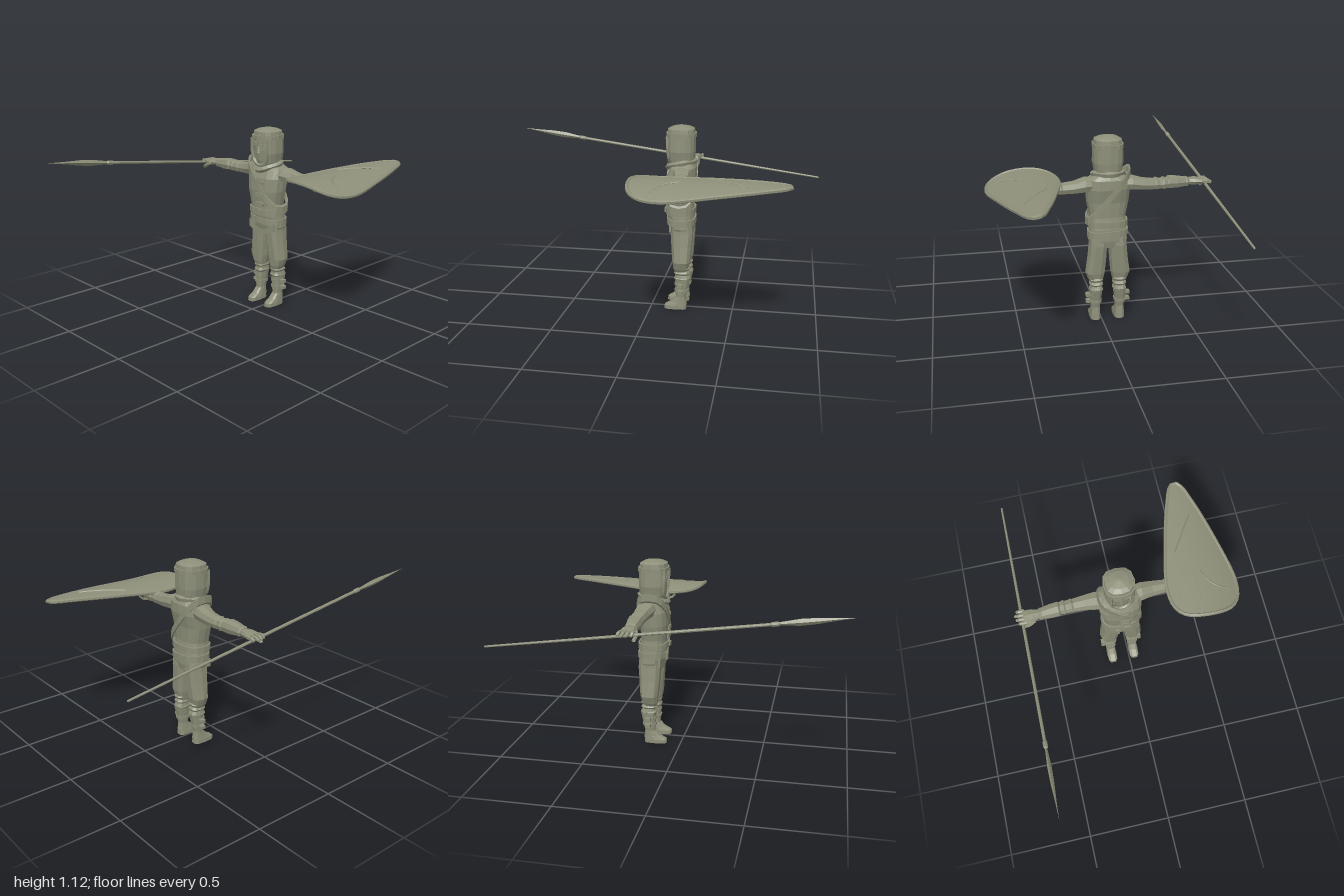
import * as THREE from 'three';

const cloth = new THREE.MeshStandardMaterial({ color: 0x8d8f79, flatShading: true, side: THREE.DoubleSide });
cloth.name = 'olive grey';

// Skin over stacked rounded cross-sections [y, centreX, centreZ, radiusX, radiusZ, tilt]
function loft(sections, { n = 12, e = 0.75, a0 = 0, a1 = Math.PI * 2, cap = true } = {}) {
  const pos = [], idx = [], w = n + 1;
  const sp = v => Math.sign(v) * Math.pow(Math.abs(v), e);
  for (const [y, cx, cz, rx, rz, tilt = 0] of sections) {
    for (let j = 0; j <= n; j++) {
      const a = a0 + (a1 - a0) * j / n, dx = rx * sp(Math.cos(a));
      pos.push(cx + dx, y + tilt * dx, cz + rz * sp(Math.sin(a)));
    }
  }
  for (let i = 0; i < sections.length - 1; i++) {
    for (let j = 0; j < n; j++) {
      const p = i * w + j, q = p + w;
      idx.push(p, q, p + 1, q, q + 1, p + 1);
    }
  }
  if (cap) {
    [0, sections.length - 1].forEach((s, k) => {
      const c = pos.length / 3, [y, cx, cz] = sections[s];
      pos.push(cx, y, cz);
      for (let j = 0; j < n; j++) {
        const p = s * w + j;
        k ? idx.push(c, p + 1, p) : idx.push(c, p, p + 1);
      }
    });
  }
  const g = new THREE.BufferGeometry();
  g.setAttribute('position', new THREE.Float32BufferAttribute(pos, 3));
  g.setIndex(idx);
  g.computeVertexNormals();
  return g;
}

function add(parent, name, geo) {
  const m = new THREE.Mesh(geo, cloth);
  m.name = name;
  parent.add(m);
  return m;
}

function box(parent, name, w, h, d, x, y, z, rz = 0) {
  const m = add(parent, name, new THREE.BoxGeometry(w, h, d));
  m.position.set(x, y, z);
  m.rotation.z = rz;
  return m;
}

function tube(parent, name, pts, r, closed = false, seg = 24, sides = 5) {
  const curve = new THREE.CatmullRomCurve3(pts.map(p => new THREE.Vector3(...p)), closed);
  return add(parent, name, new THREE.TubeGeometry(curve, seg, r, sides, closed));
}

function buildTorso(body) {
  add(body, 'tunic', loft([
    [0.47, 0, -0.185, 0.1, 0.062], [0.51, 0, -0.183, 0.115, 0.072], [0.58, 0, -0.175, 0.11, 0.08],
    [0.65, 0, -0.168, 0.106, 0.077], [0.74, 0, -0.165, 0.124, 0.083], [0.82, 0, -0.175, 0.13, 0.09],
    [0.875, 0, -0.185, 0.122, 0.078], [0.91, 0, -0.185, 0.065, 0.06]], { n: 16 }));
  // curved front hem hanging between the thighs
  const hem = new THREE.Shape();
  hem.moveTo(-0.105, 0.54);
  hem.lineTo(-0.105, 0.49);
  hem.quadraticCurveTo(0, 0.43, 0.105, 0.49);
  hem.lineTo(0.105, 0.54);
  const flap = add(body, 'frontHem', new THREE.ExtrudeGeometry(hem, { depth: 0.012, bevelEnabled: false, curveSegments: 5 }));
  flap.position.z = -0.128;
  const ring = (name, y, h, z, rx, rz, tilt = 0) => add(body, name, loft([
    [y - h, 0, z, rx - 0.01, rz - 0.01, tilt], [y - h, 0, z, rx, rz, tilt],
    [y + h, 0, z, rx, rz, tilt], [y + h, 0, z, rx - 0.01, rz - 0.01, tilt]], { n: 16, cap: false }));
  ring('upperBelt', 0.612, 0.018, -0.173, 0.118, 0.09);
  ring('lowerBelt', 0.553, 0.018, -0.178, 0.12, 0.087, -0.06);
  ring('shoulderStrap', 0.772, 0.022, -0.173, 0.13, 0.095, -1.15);
  box(body, 'beltBuckle', 0.024, 0.05, 0.012, -0.033, 0.55, -0.088);
  box(body, 'beltPlate', 0.04, 0.026, 0.01, 0.02, 0.61, -0.081);
  for (const [y, z] of [[0.795, -0.085], [0.715, -0.083], [0.66, -0.088]]) {
    const tab = add(body, 'chestTab', new THREE.CylinderGeometry(0.014, 0.014, 0.014, 8));
    tab.rotation.x = Math.PI / 2;
    tab.position.set(0.03, y, z);
    box(body, 'chestTab', 0.045, 0.026, 0.013, 0.006, y, z);
  }
  tube(body, 'scarf', [[-0.085, 0.905, -0.185], [-0.055, 0.885, -0.115], [0, 0.868, -0.092],
    [0.055, 0.885, -0.115], [0.085, 0.905, -0.185], [0, 0.91, -0.255]], 0.018, true, 20);
}

function buildHead(body) {
  add(body, 'face', loft([[0.88, 0, -0.17, 0.045, 0.06], [0.925, 0, -0.165, 0.052, 0.07],
    [0.99, 0, -0.165, 0.062, 0.076], [1.07, 0, -0.165, 0.066, 0.074]], { e: 0.8 }));
  add(body, 'hood', loft([[0.875, 0, -0.175, 0.06, 0.07], [0.915, 0, -0.172, 0.078, 0.08],
    [0.97, 0, -0.17, 0.088, 0.086], [1.07, 0, -0.17, 0.085, 0.086]],
  { a0: Math.PI * 0.68, a1: Math.PI * 2.32, n: 12, cap: false }));
  add(body, 'crown', loft([[1.055, 0, -0.17, 0.084, 0.084], [1.1, 0, -0.17, 0.08, 0.08],
    [1.113, 0, -0.17, 0.055, 0.055], [1.123, 0, -0.17, 0.008, 0.008]]));
  add(body, 'browBand', loft([[1.055, 0, -0.17, 0.08, 0.08], [1.055, 0, -0.17, 0.09, 0.091],
    [1.078, 0, -0.17, 0.09, 0.091], [1.078, 0, -0.17, 0.08, 0.08]], { cap: false }));
  tube(body, 'hoodRim', [[-0.06, 1.06, -0.095], [-0.062, 0.98, -0.098], [-0.048, 0.92, -0.104], [0, 0.895, -0.098],
    [0.048, 0.92, -0.104], [0.062, 0.98, -0.098], [0.06, 1.06, -0.095]], 0.011);
  const nose = add(body, 'nose', new THREE.ConeGeometry(0.012, 0.05, 4));
  nose.position.set(0, 1.0, -0.089);
  for (const s of [-1, 1]) {
    box(body, 'eyebrow', 0.036, 0.007, 0.009, s * 0.03, 1.037, -0.09, s * 0.1);
    box(body, 'eye', 0.026, 0.007, 0.007, s * 0.03, 1.022, -0.091);
  }
}

function buildArm(body, s) {
  const arm = new THREE.Group();
  arm.name = s > 0 ? 'leftArm' : 'rightArm';
  body.add(arm);
  // sections [distance, y, z, half height, half depth] laid outward along x
  const limb = (name, list, n = 8) => add(arm, name,
    loft(list.map(([d, y, z, ry, rz]) => [d, -s * y, z, ry, rz]), { n }).rotateZ(-s * Math.PI / 2));
  limb('sleeve', [[0.08, 0.845, -0.185, 0.04, 0.055], [0.135, 0.845, -0.192, 0.044, 0.055],
    [0.2, 0.835, -0.2, 0.036, 0.046], [0.27, 0.83, -0.2, 0.032, 0.04], [0.35, 0.832, -0.198, 0.031, 0.038]]);
  for (const d of [0.265, 0.31]) {
    limb('sleeveFold', [[d, 0.831, -0.2, 0.03, 0.038], [d + 0.012, 0.833, -0.2, 0.037, 0.043], [d + 0.032, 0.831, -0.2, 0.03, 0.038]]);
  }
  limb('armguard', [[0.345, 0.833, -0.197, 0.03, 0.036], [0.355, 0.836, -0.195, 0.038, 0.043],
    [0.4, 0.834, -0.193, 0.036, 0.042], [0.465, 0.832, -0.19, 0.026, 0.033]]);
  limb('wristCuff', [[0.45, 0.832, -0.19, 0.027, 0.036], [0.462, 0.832, -0.19, 0.03, 0.037], [0.475, 0.832, -0.19, 0.022, 0.03]]);
  limb('palm', [[0.465, 0.833, -0.19, 0.019, 0.028], [0.51, 0.833, -0.19, 0.021, 0.04], [0.56, 0.832, -0.19, 0.015, 0.045]]);
  for (let i = 0; i < 4; i++) {
    const z = -0.228 + i * 0.025, tip = 0.615 - Math.abs(i - 1.3) * 0.012;
    limb('finger', [[0.55, 0.834, z, 0.011, 0.011], [0.585, 0.834 + i * 0.001, z, 0.011, 0.01],
      [tip, 0.827, z - 0.004, 0.006, 0.007]], 6);
  }
  tube(arm, 'thumb', [[s * 0.5, 0.83, -0.155], [s * 0.535, 0.815, -0.143], [s * 0.568, 0.795, -0.15]], 0.011, false, 4, 6);
}

function buildLeg(body, s) {
  const leg = new THREE.Group();
  leg.name = s > 0 ? 'leftLeg' : 'rightLeg';
  body.add(leg);
  const limb = (name, list, o) => add(leg, name, loft(list.map(([y, x, ...r]) => [y, s * x, ...r]), o));
  limb('trouserLeg', [[0.225, 0.066, -0.185, 0.03, 0.035], [0.26, 0.072, -0.185, 0.045, 0.046], [0.305, 0.075, -0.188, 0.059, 0.054],
    [0.4, 0.064, -0.187, 0.056, 0.062], [0.48, 0.058, -0.187, 0.054, 0.068], [0.53, 0.056, -0.185, 0.054, 0.066]], { n: 10 });
  limb('boot', [[0.03, 0.073, -0.188, 0.029, 0.036], [0.08, 0.073, -0.187, 0.027, 0.031], [0.14, 0.073, -0.192, 0.033, 0.039],
    [0.2, 0.071, -0.197, 0.039, 0.047], [0.23, 0.069, -0.19, 0.034, 0.04]], { n: 10 });
  for (const y of [0.185, 0.22, 0.25]) {
    limb('kneeWrap', [[y, 0.07, -0.192, 0.034, 0.042], [y + 0.012, 0.07, -0.192, 0.042, 0.049], [y + 0.026, 0.069, -0.19, 0.034, 0.042]], { n: 10 });
  }
  limb('foot', [[0, 0.073, -0.153, 0.032, 0.069], [0.022, 0.073, -0.153, 0.032, 0.067],
    [0.045, 0.073, -0.173, 0.029, 0.046], [0.075, 0.073, -0.187, 0.027, 0.031]], { n: 10, e: 0.6 });
  for (const y of [0.12, 0.16]) {
    box(leg, 'bootStrap', 0.04, 0.02, 0.03, s * 0.112, y, -0.19);
    limb('strapBand', [[y - 0.008, 0.073, -0.19, 0.036, 0.042], [y + 0.008, 0.073, -0.19, 0.037, 0.043]], { n: 10 });
  }
}

function buildSpear() {
  const spear = new THREE.Group();
  spear.name = 'spear';
  const part = (name, pts, sides) => add(spear, name,
    new THREE.LatheGeometry(pts.map(p => new THREE.Vector2(...p)), sides));
  part('shaft', [[0, -1.005], [0.006, -1], [0.009, -0.2], [0.009, 0.6], [0, 0.6]], 8);
  part('collar', [[0, 0.56], [0.013, 0.575], [0.013, 0.61], [0, 0.625]], 8);
  part('blade', [[0, 0.59], [0.008, 0.6], [0.018, 0.72], [0.016, 0.8], [0.007, 0.9], [0, 1.008]], 4).scale.x = 0.65;
  spear.position.set(-0.607, 0.847, 0);
  spear.rotation.x = Math.PI / 2 - Math.atan2(0.27, 2);
  return spear;
}

function buildShield() {
  const shield = new THREE.Group();
  shield.name = 'shield';
  const cx = 0.447, bend = x => 0.886 - (x - 0.4) ** 2;
  // teardrop outline as [z, half width]
  const half = [[-0.822, 0.012], [-0.79, 0.04], [-0.7, 0.073], [-0.6, 0.105], [-0.4, 0.157], [-0.2, 0.2],
    [-0.12, 0.203], [-0.05, 0.19], [0.0, 0.16], [0.03, 0.115], [0.045, 0.05]];
  const rows = half.length - 1, cols = 10;
  const face = new THREE.BoxGeometry(1, 1, 1, cols, 1, rows), p = face.attributes.position;
  for (let i = 0; i < p.count; i++) {
    const [z, w] = half[Math.round((p.getZ(i) + 0.5) * rows)];
    const x = cx + p.getX(i) * 2 * w;
    p.setXYZ(i, x, bend(x) + p.getY(i) * 0.008, z);
  }
  face.computeVertexNormals();
  add(shield, 'shieldFace', face);
  const edge = s => half.map(([z, w]) => [cx + s * w, bend(cx + s * w), z]);
  tube(shield, 'shieldRim', [...edge(1), ...edge(-1).reverse()], 0.011, true, 60, 6);
  // raised scars on the face
  for (const [x0, z0, x1, z1, k] of [[0.485, -0.6, 0.34, -0.37, 0], [0.45, -0.23, 0.585, -0.095, 0.02]]) {
    const pts = [0, 0.33, 0.67, 1].map(t => {
      const b = k * Math.sin(Math.PI * t), x = x0 + (x1 - x0) * t - b;
      return [x, bend(x) + 0.004, z0 + (z1 - z0) * t + b];
    });
    tube(shield, 'scar', pts, 0.005, false, 8, 4);
  }
  // loops holding the forearm and hand
  for (const x of [0.36, 0.5]) {
    tube(shield, 'armLoop', [[x, bend(x), -0.255], [x, 0.81, -0.25], [x, 0.79, -0.19], [x, 0.81, -0.135], [x, bend(x), -0.13]], 0.008, false, 12);
  }
  return shield;
}

export function createModel() {
  const model = new THREE.Group();
  model.name = 'warrior';
  const body = new THREE.Group();
  body.name = 'body';
  body.position.x = -0.037;
  buildTorso(body);
  buildHead(body);
  for (const s of [-1, 1]) {
    buildArm(body, s);
    buildLeg(body, s);
  }
  model.add(body, buildSpear(), buildShield());
  return model;
}
